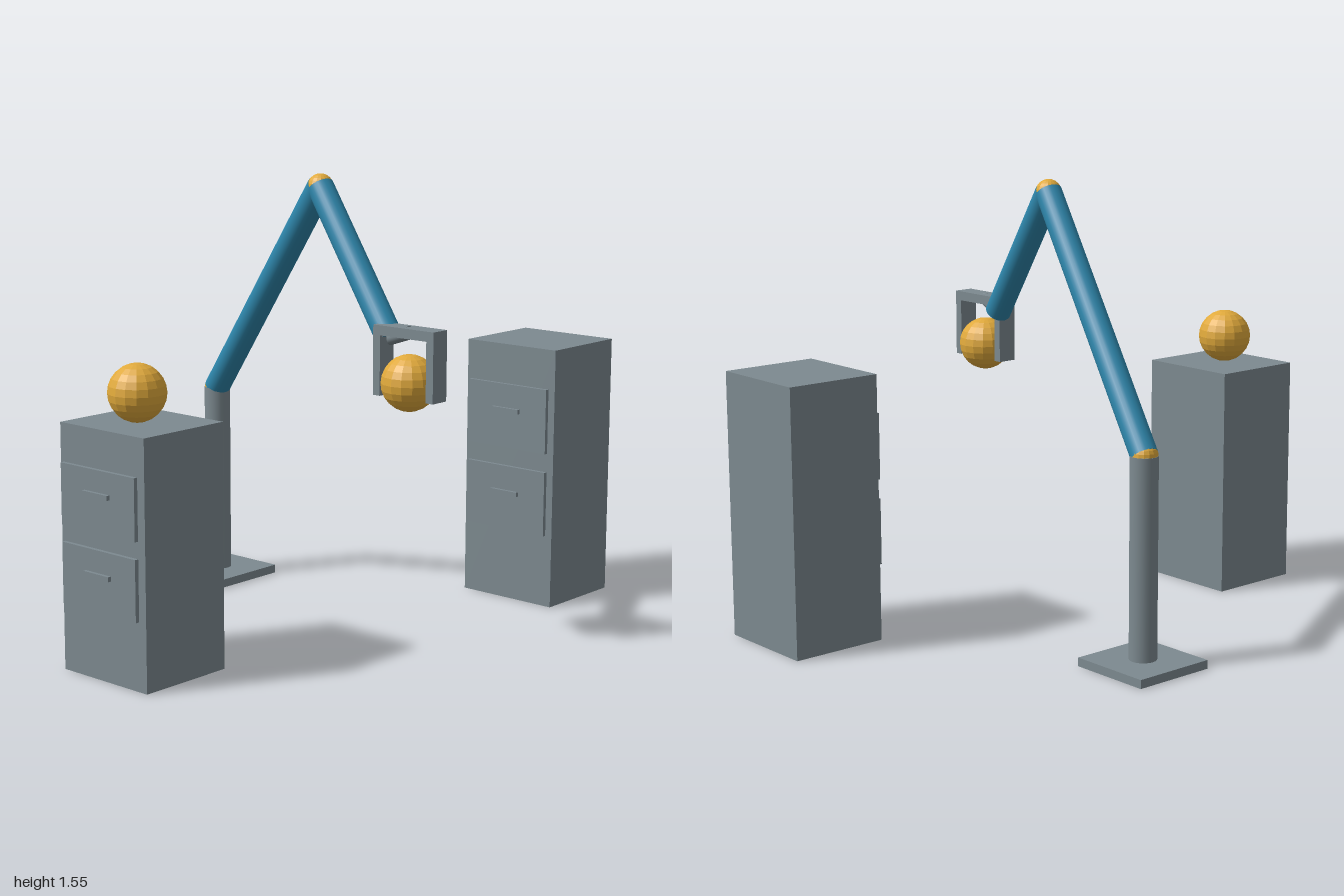
import * as THREE from 'three';

const mat = (name, color) => Object.assign(new THREE.MeshStandardMaterial({ color }), { name });

export function createModel() {
  const model = new THREE.Group();
  model.name = 'robotArmWithCabinets';
  const grey = mat('steelGrey', 0x7d8a90);
  const blue = mat('armBlue', 0x2e86ab);
  const gold = mat('gold', 0xe0a93b);

  const add = (parent, name, geometry, material) => {
    const mesh = new THREE.Mesh(geometry, material);
    mesh.name = name;
    parent.add(mesh);
    return mesh;
  };
  // box given by its two extreme corners
  const box = (parent, name, a, b) => {
    const size = b.map((v, i) => v - a[i]);
    const mesh = add(parent, name, new THREE.BoxGeometry(...size), grey);
    mesh.position.set(...a.map((v, i) => v + size[i] / 2));
  };
  // faceted ball
  const ball = (parent, name, center, r) => {
    const geo = new THREE.SphereGeometry(r, 16, 12).toNonIndexed();
    geo.computeVertexNormals();
    add(parent, name, geo, gold).position.copy(center);
  };
  // round bar between two points
  const rod = (parent, name, from, to, r, material) => {
    const dir = to.clone().sub(from);
    const mesh = add(parent, name, new THREE.CylinderGeometry(r, r, dir.length(), 24), material);
    mesh.position.copy(from).addScaledVector(dir, 0.5);
    mesh.quaternion.setFromUnitVectors(new THREE.Vector3(0, 1, 0), dir.normalize());
  };

  // filing cabinets: drawers listed as [bottom, top, handle bottom, handle top]
  const cabinet = (name, x, height, front, halfDrawer, drawers) => {
    const group = new THREE.Group();
    group.name = name;
    group.position.set(x, 0, front);
    model.add(group);
    box(group, 'cabinetBody', [-0.19, 0, -0.346], [0.19, height, 0]);
    for (const [y0, y1, h0, h1] of drawers) {
      box(group, 'drawerFront', [-halfDrawer, y0, 0.008], [halfDrawer, y1, 0.022]);
      box(group, 'drawerHandle', [-0.057, h0, 0.022], [0.057, h1, 0.034]);
    }
  };
  cabinet('frontCabinet', 0.071, 0.815, 0.966, 0.167,
    [[0.231, 0.433, 0.344, 0.36], [0.489, 0.691, 0.604, 0.62]]);
  cabinet('backCabinet', 0.445, 0.925, -0.654, 0.169,
    [[0.26, 0.49, 0.387, 0.403], [0.557, 0.786, 0.686, 0.702]]);
  ball(model, 'cabinetBall', new THREE.Vector3(0.071, 0.911, 0.81), 0.095);

  // arm on its post
  const arm = new THREE.Group();
  arm.name = 'robotArm';
  model.add(arm);
  const foot = new THREE.Vector3(-0.551, 0.03, -0.187);
  const shoulder = new THREE.Vector3(-0.551, 0.715, -0.187);
  const elbow = new THREE.Vector3(0.086, 1.502, -0.04);
  const wrist = new THREE.Vector3(0.47, 1.035, 0.05);
  box(arm, 'basePlate', [-0.7, 0, -0.337], [-0.4, 0.03, -0.037]);
  rod(arm, 'post', foot, shoulder, 0.047, grey);
  ball(arm, 'shoulderJoint', shoulder, 0.046);
  rod(arm, 'upperArm', shoulder, elbow, 0.046, blue);
  ball(arm, 'elbowJoint', elbow, 0.045);
  rod(arm, 'lowerArm', elbow, wrist, 0.046, blue);

  // gripper holding a ball
  const gripper = new THREE.Group();
  gripper.name = 'gripper';
  arm.add(gripper);
  rod(gripper, 'wristLink', wrist, new THREE.Vector3(0.572, 1.068, 0.072), 0.022, grey);
  box(gripper, 'gripperBar', [0.447, 1.053, 0.037], [0.697, 1.086, 0.107]);
  for (const x of [0.447, 0.668]) {
    box(gripper, 'gripperFinger', [x, 0.853, 0.037], [x + 0.029, 1.053, 0.107]);
  }
  ball(model, 'heldBall', new THREE.Vector3(0.572, 0.903, 0.072), 0.094);

  return model;
}
